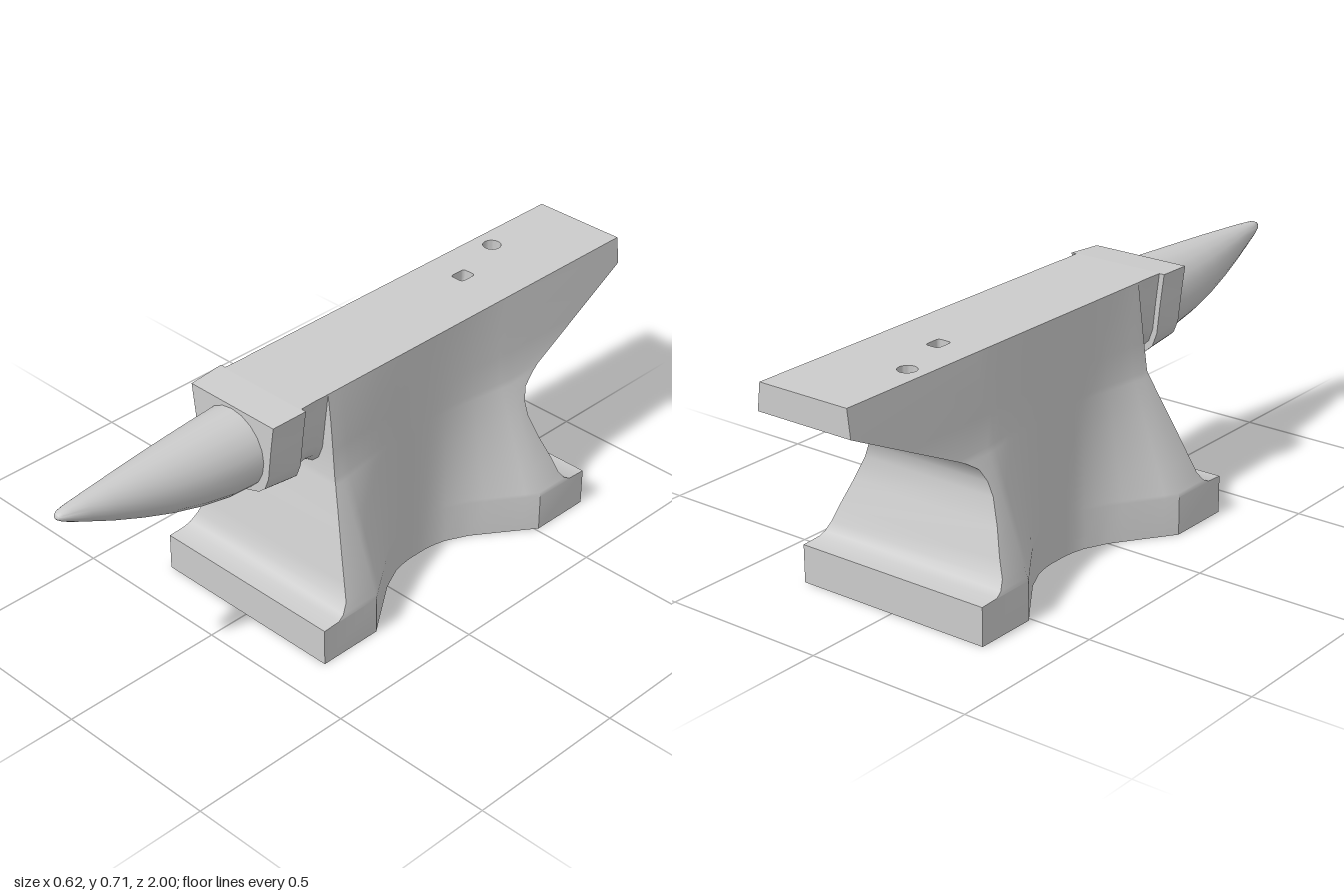
import * as THREE from 'three';
import { toCreasedNormals } from 'three/addons/utils/BufferGeometryUtils.js';

const TOP = 0.71;
const material = new THREE.MeshStandardMaterial({ color: 0xcccccc });

function addMesh(group, name, geometry) {
  const mesh = new THREE.Mesh(geometry, material);
  mesh.name = name;
  group.add(mesh);
}

// Skin a list of closed rings of [x, y, z] points, with optional flat ends
function loft(rings, capStart, capEnd) {
  const n = rings[0].length, last = (rings.length - 1) * n, index = [];
  for (let i = 0; i < rings.length - 1; i++) {
    for (let j = 0; j < n; j++) {
      const a = i * n + j, b = i * n + (j + 1) % n;
      index.push(a, b, b + n, a, b + n, a + n);
    }
  }
  for (let j = 1; j < n - 1; j++) {
    if (capStart) index.push(0, j + 1, j);
    if (capEnd) index.push(last, last + j, last + j + 1);
  }
  const geometry = new THREE.BufferGeometry();
  geometry.setAttribute('position', new THREE.Float32BufferAttribute(rings.flat(2), 3));
  geometry.setIndex(index);
  return toCreasedNormals(geometry, 0.6);
}

// Piecewise linear lookup in [key, value] pairs
function lookup(table, t) {
  for (let i = 1; i < table.length; i++) {
    const [a, va] = table[i - 1], [b, vb] = table[i];
    if (t <= b) return va + (vb - va) * Math.max(0, (t - a) / (b - a));
  }
  return table[table.length - 1][1];
}

// How far the feet flare out, by distance from the waist
const WAIST_Z = -0.17, WAIST_HALF = 0.145;
const FLARE = [[0.05, 0], [0.1, 0.07], [0.17, 0.27], [0.25, 0.61], [0.34, 1]];

// Body rows: height, front z, back z, half width of the legs
const BODY = [
  [0, 0.37, -0.7, 0.31], [0.112, 0.37, -0.7, 0.31],
  [0.115, 0.315, -0.64, 0.31], [0.125, 0.295, -0.62, 0.306],
  [0.15, 0.275, -0.602, 0.297], [0.2, 0.262, -0.588, 0.277],
  [0.27, 0.244, -0.562, 0.249], [0.34, 0.225, -0.543, 0.221],
  [0.38, 0.214, -0.545, 0.205], [0.415, 0.205, -0.562, 0.191],
  [0.44, 0.198, -0.6, 0.181], [0.455, 0.195, -0.63, 0.175],
  [0.54, 0.192, -0.81, 0.165], [0.63, 0.19, -1, 0.155], [TOP, 0.19, -1, 0.145],
];

function bodyRing([y, front, back, half]) {
  const zs = [front];
  for (let i = 0; i <= 20; i++) zs.push(0.17 - 0.68 * i / 20);
  zs.push(back);
  const side = zs.map((z) => {
    const flare = lookup(FLARE, Math.abs(z - WAIST_Z));
    return [WAIST_HALF + (half - WAIST_HALF) * flare, y, z];
  });
  return [...side, ...side.map(([x, h, z]) => [-x, h, z]).reverse()];
}

// Rounded square (power > 2) or circle (power 2) outline in plan
function holeOutline(cx, cz, rx, rz, power) {
  return Array.from({ length: 24 }, (_, i) => {
    const a = i / 24 * Math.PI * 2, c = Math.cos(a), s = Math.sin(a);
    const bend = (v) => Math.sign(v) * Math.abs(v) ** (2 / power);
    return [cx + rx * bend(c), cz - rz * bend(s)];
  });
}

// U-shaped section used by the neck and the collar, as [x, drop from top 0..1]
const U = [[0, 1], [0.06, 0.934], [0.1, 0.886], [0.125, 0.806], [0.14, 0.66], [0.15, 0.33], [0.162, 0]];

function uRing([z, scale, top, bottom]) {
  const right = U.map(([x, d]) => [x * scale, top + (bottom - top) * d, z]);
  return [...right, ...right.slice(1).reverse().map(([x, y]) => [-x, y, z])];
}

// Horn rows: z, half width, top, bottom
const HORN = [
  [0.39, 0.118, 0.697, 0.461], [0.48, 0.113, 0.692, 0.464], [0.57, 0.102, 0.688, 0.479],
  [0.66, 0.088, 0.684, 0.502], [0.75, 0.071, 0.68, 0.532], [0.84, 0.052, 0.675, 0.567],
  [0.91, 0.037, 0.671, 0.599], [0.96, 0.026, 0.667, 0.622], [0.985, 0.018, 0.664, 0.635],
  [0.996, 0.01, 0.659, 0.643], [1, 0.003, 0.653, 0.648],
];

function hornRing([z, rx, top, bottom]) {
  return Array.from({ length: 20 }, (_, i) => {
    const a = i / 20 * Math.PI * 2;
    return [rx * Math.cos(a), (top + bottom) / 2 + (top - bottom) / 2 * Math.sin(a), z];
  });
}

export function createModel() {
  const group = new THREE.Group();
  group.name = 'anvil';

  // Waisted body with feet and overhanging heel
  const rings = BODY.map(bodyRing);
  addMesh(group, 'body', loft(rings));

  const base = new THREE.Shape(rings[0].map(([x, , z]) => new THREE.Vector2(x, z)));
  addMesh(group, 'underside', new THREE.ShapeGeometry(base).rotateX(Math.PI / 2));

  // Working face with a round and a square hole
  const face = new THREE.Shape(rings.at(-1).map(([x, , z]) => new THREE.Vector2(x, -z)));
  const holes = {
    roundHole: holeOutline(-0.085, -0.71, 0.027, 0.027, 2),
    squareHole: holeOutline(-0.025, -0.52, 0.022, 0.027, 6),
  };
  for (const [name, outline] of Object.entries(holes)) {
    face.holes.push(new THREE.Path(outline.map(([x, z]) => new THREE.Vector2(x, -z))));
    const levels = [TOP, TOP - 0.06].map((y) => outline.map(([x, z]) => [x, y, z]));
    addMesh(group, name, loft(levels, false, true));
  }
  const faceGeometry = new THREE.ShapeGeometry(face).rotateX(-Math.PI / 2);
  faceGeometry.translate(0, TOP, 0);
  addMesh(group, 'workingFace', faceGeometry);

  // Neck blending the body into the collar
  addMesh(group, 'neck', loft([
    [0.17, 0.895, TOP, 0.43], [0.2, 0.895, TOP, 0.452], [0.215, 0.89, TOP, 0.464],
    [0.24, 0.89, TOP, 0.47], [0.265, 0.895, TOP, 0.465], [0.292, 0.9, TOP, 0.452],
  ].map(uRing)));

  // Collar block and horn
  addMesh(group, 'collar', loft([[0.288, 1, TOP, 0.437], [0.4, 0.96, 0.705, 0.45]].map(uRing), true, true));
  addMesh(group, 'horn', loft(HORN.map(hornRing), false, true));

  return group;
}
